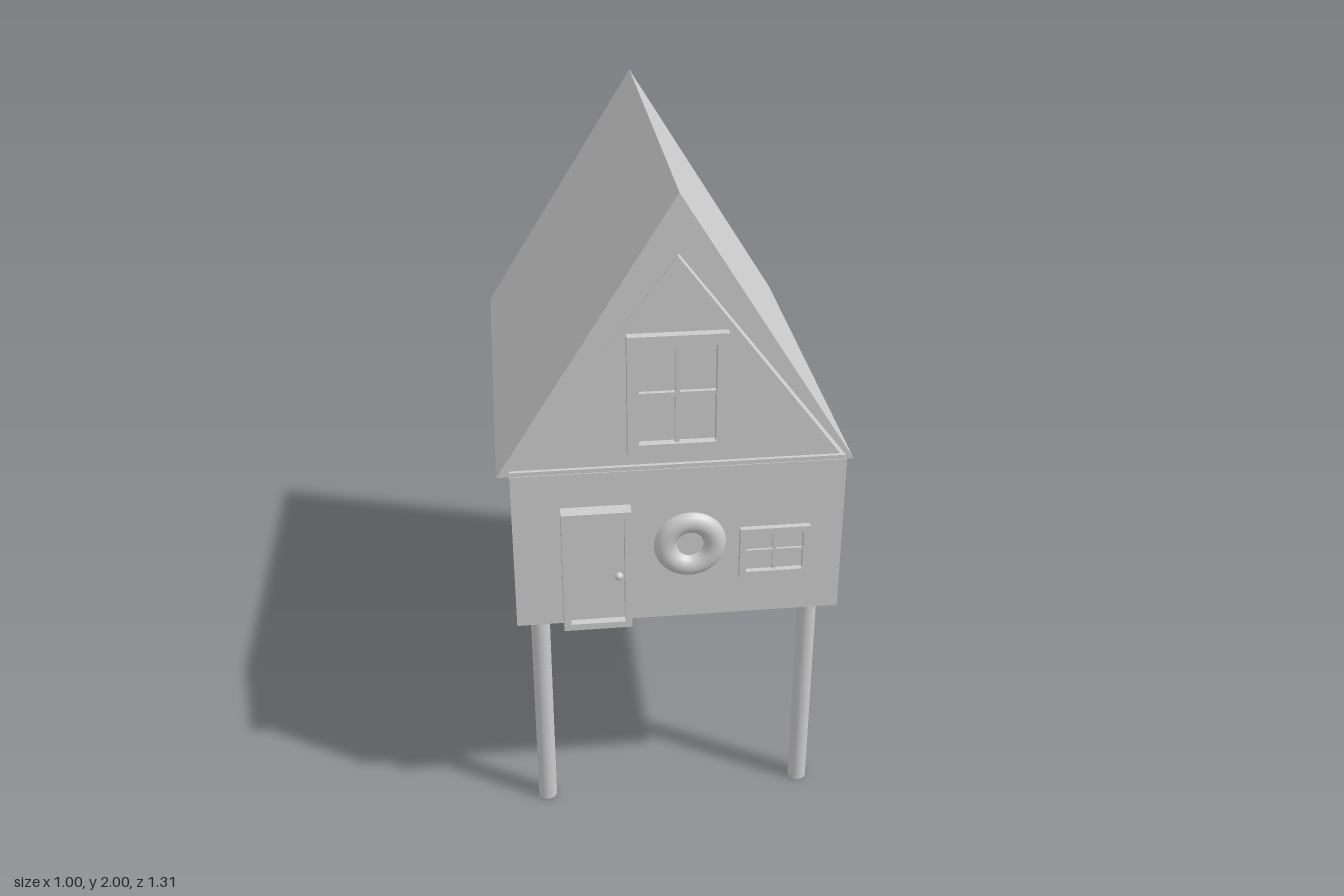
import * as THREE from 'three';

const material = new THREE.MeshStandardMaterial({ color: 0xcccccc });

function mesh(name, geometry, x = 0, y = 0, z = 0) {
  const m = new THREE.Mesh(geometry, material);
  m.name = name;
  m.position.set(x, y, z);
  return m;
}

const box = (name, w, h, d, x, y, z) => mesh(name, new THREE.BoxGeometry(w, h, d), x, y, z);

function polygon(points, PathType = THREE.Shape) {
  return new PathType(points.map(([x, y]) => new THREE.Vector2(x, y)));
}

const rect = (w, h) => [[-w / 2, -h / 2], [w / 2, -h / 2], [w / 2, h / 2], [-w / 2, h / 2]];

const extrude = (shape, depth) => new THREE.ExtrudeGeometry(shape, { depth, bevelEnabled: false });

// Rectangular surround, back face on local z = 0
function frame(w, h, depth, border) {
  const shape = polygon(rect(w, h));
  shape.holes.push(polygon(rect(w - 2 * border, h - 2 * border), THREE.Path));
  return mesh('frame', extrude(shape, depth));
}

// Window: surround, recessed pane and crossing glazing bars
function makeWindow(name, w, h, depth, border, bar = 0.012) {
  const g = new THREE.Group();
  g.name = name;
  const iw = w - 2 * border, ih = h - 2 * border;
  g.add(
    frame(w, h, depth, border),
    box('pane', iw, ih, depth * 0.2, 0, 0, depth * 0.1),
    box('verticalBar', bar, ih, depth * 0.5, 0, 0, depth * 0.4),
    box('horizontalBar', iw, bar, depth * 0.45, 0, 0, depth * 0.4)
  );
  return g;
}

export function createModel() {
  const house = new THREE.Group();
  house.name = 'stiltHouse';

  // Walls
  house.add(box('walls', 0.93, 0.487, 1.22, 0, 0.9715, 0.005));

  // Stilts
  for (const x of [-0.397, 0.402]) {
    for (const z of [0.505, -0.476]) {
      house.add(mesh('stilt', new THREE.CylinderGeometry(0.028, 0.028, 0.74, 24), x, 0.37, z));
    }
  }

  // Roof shell with a triangular opening along its length
  const roof = polygon([[-0.5, 1.222], [0.48, 1.222], [-0.01, 2]]);
  roof.holes.push(polygon([[-0.467, 1.234], [0.458, 1.234], [-0.01, 1.84]], THREE.Path));
  house.add(mesh('roof', extrude(roof, 1.26), 0, 0, -0.635));

  // Attic filling the opening, slightly recessed
  const attic = polygon([[-0.465, 1.234], [0.444, 1.234], [-0.011, 1.829]]);
  house.add(mesh('attic', extrude(attic, 1.238), 0, 0, -0.624));

  // Attic windows, front and back
  const atticFront = makeWindow('atticWindowFront', 0.27, 0.347, 0.03, 0.031);
  atticFront.position.set(-0.011, 1.448, 0.61);
  const atticBack = makeWindow('atticWindowBack', 0.27, 0.347, 0.038, 0.031);
  atticBack.position.set(-0.011, 1.448, -0.618);
  atticBack.rotation.y = Math.PI;

  // Wall windows
  const smallWindow = makeWindow('frontWindow', 0.2, 0.16, 0.025, 0.019, 0.01);
  smallWindow.position.set(0.27, 0.935, 0.607);
  const sideWindow = makeWindow('sideWindow', 0.334, 0.262, 0.034, 0.034);
  sideWindow.position.set(0.459, 0.931, 0.033);
  sideWindow.rotation.y = Math.PI / 2 + 0.02;
  const backWindow = makeWindow('backWindow', 0.345, 0.262, 0.038, 0.034);
  backWindow.position.set(-0.147, 0.931, -0.602);
  backWindow.rotation.y = Math.PI;
  house.add(atticFront, atticBack, smallWindow, sideWindow, backWindow);

  // Door with surround, recessed leaf and knob
  const door = new THREE.Group();
  door.name = 'door';
  door.position.set(-0.235, 0.92, 0.61);
  door.add(
    frame(0.194, 0.38, 0.048, 0.02),
    box('leaf', 0.156, 0.342, 0.025, 0, 0, 0.0125),
    mesh('knob', new THREE.SphereGeometry(0.012, 20, 14), 0.061, -0.025, 0.034)
  );
  house.add(door);

  // Life ring on the front wall
  house.add(mesh('lifeRing', new THREE.TorusGeometry(0.07, 0.034, 24, 56), 0.03, 0.97, 0.605));

  return house;
}
